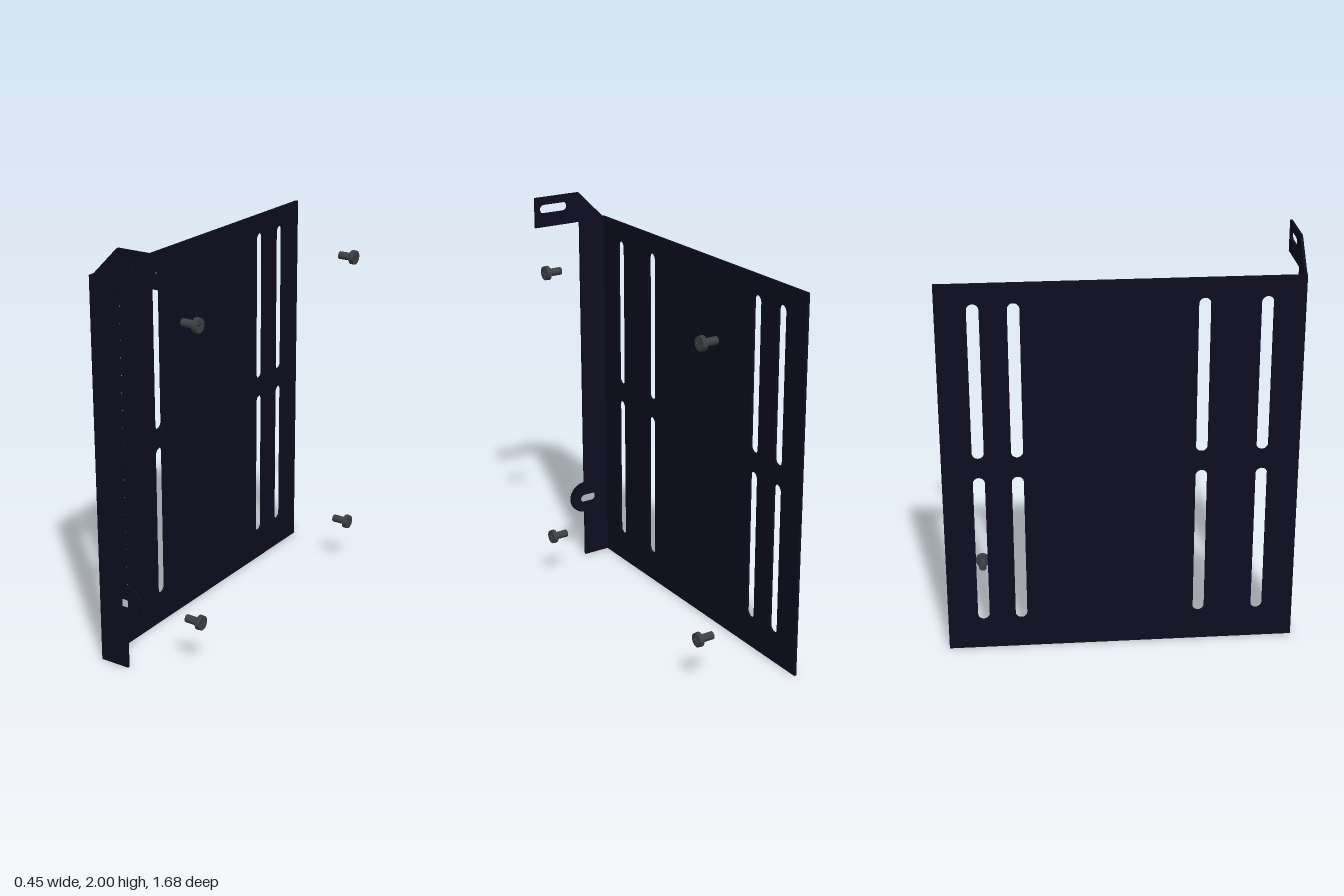
import * as THREE from 'three';

const T = 0.012; // sheet thickness

const navy = new THREE.MeshStandardMaterial({ color: 0x0d0d20 });
navy.name = 'navy sheet metal';
const steel = new THREE.MeshStandardMaterial({ color: 0x3d3f45 });
steel.name = 'dark steel';
const black = new THREE.MeshStandardMaterial({ color: 0x0a0a0c });
black.name = 'black recess';

function add(parent, name, geometry, material) {
  const mesh = new THREE.Mesh(geometry, material);
  mesh.name = name;
  parent.add(mesh);
  return mesh;
}

function polygon(points) {
  return new THREE.Shape(points.map(([x, y]) => new THREE.Vector2(x, y)));
}

// Rounded slots between two outer ends
function verticalSlot(x, y0, y1, r) {
  const p = new THREE.Path();
  p.absarc(x, y1 - r, r, 0, Math.PI, false);
  p.absarc(x, y0 + r, r, Math.PI, Math.PI * 2, false);
  p.closePath();
  return p;
}

function horizontalSlot(x0, x1, y, r) {
  const p = new THREE.Path();
  p.absarc(x1 - r, y, r, -Math.PI / 2, Math.PI / 2, false);
  p.absarc(x0 + r, y, r, Math.PI / 2, Math.PI * 1.5, false);
  p.closePath();
  return p;
}

function extrude(shape, depth) {
  return new THREE.ExtrudeGeometry(shape, { depth, bevelEnabled: false, curveSegments: 12 });
}

// Pan-head screw with a cross recess, pointing along +z
function makeScrew() {
  const screw = new THREE.Group();
  const shaft = add(screw, 'screwShaft', new THREE.CylinderGeometry(0.019, 0.019, 0.07, 24), steel);
  shaft.rotation.x = Math.PI / 2;
  shaft.position.z = 0.035;

  const base = add(screw, 'screwHeadBase', new THREE.CylinderGeometry(0.035, 0.035, 0.01, 32), steel);
  base.rotation.x = Math.PI / 2;
  base.position.z = 0.073;

  const a = 0.023, b = 0.004;
  const rim = new THREE.Shape().absarc(0, 0, 0.034, 0, Math.PI * 2, false);
  rim.holes.push(polygon([
    [a, -b], [a, b], [b, b], [b, a], [-b, a], [-b, b],
    [-a, b], [-a, -b], [-b, -b], [-b, -a], [b, -a], [b, -b],
  ]));
  add(screw, 'screwHeadTop', extrude(rim, 0.012), steel).position.z = 0.078;
  add(screw, 'crossRecess', new THREE.CircleGeometry(0.028, 24), black).position.z = 0.079;
  return screw;
}

export function createModel() {
  const model = new THREE.Group();
  model.name = 'mountingBracket';

  // Large side plate with eight slots, drawn in (-z, y)
  const plate = polygon([[-0.84 + T, 0], [0.84, 0], [0.84, 1.86], [-0.84 + T, 1.86]]);
  for (const z of [0.664, 0.378, -0.486, -0.668]) {
    plate.holes.push(verticalSlot(-z, 0.153, 0.912, 0.028));
    plate.holes.push(verticalSlot(-z, 1.006, 1.765, 0.028));
  }
  const side = add(model, 'sidePlate', extrude(plate, T), navy);
  side.rotation.y = Math.PI / 2;
  side.position.x = -0.228;

  // Front flange with a lower round ear and an upper tab
  const flange = new THREE.Shape();
  flange.moveTo(-0.228, 0);
  flange.lineTo(-0.077, 0);
  flange.lineTo(-0.077, 0.255);
  flange.absarc(-0.077, 0.338, 0.083, -Math.PI / 2, Math.PI / 2, false);
  flange.lineTo(-0.077, 1.85);
  flange.lineTo(0.176, 1.85);
  flange.lineTo(0.176, 2);
  flange.lineTo(-0.073, 2);
  flange.lineTo(-0.213, 1.86);
  flange.lineTo(-0.228, 1.86);
  flange.closePath();
  flange.holes.push(horizontalSlot(-0.146, -0.054, 0.33, 0.022));
  flange.holes.push(horizontalSlot(-0.006, 0.15, 1.94, 0.022));
  add(model, 'frontFlange', extrude(flange, T), navy).position.z = 0.84 - T;

  // Four loose screws, heads facing outwards
  for (const z of [0.664, -0.668]) {
    for (const y of [0.243, 1.665]) {
      const screw = makeScrew();
      screw.name = 'screw';
      screw.rotation.y = Math.PI / 2;
      screw.position.set(0.136, y, z);
      model.add(screw);
    }
  }
  return model;
}
